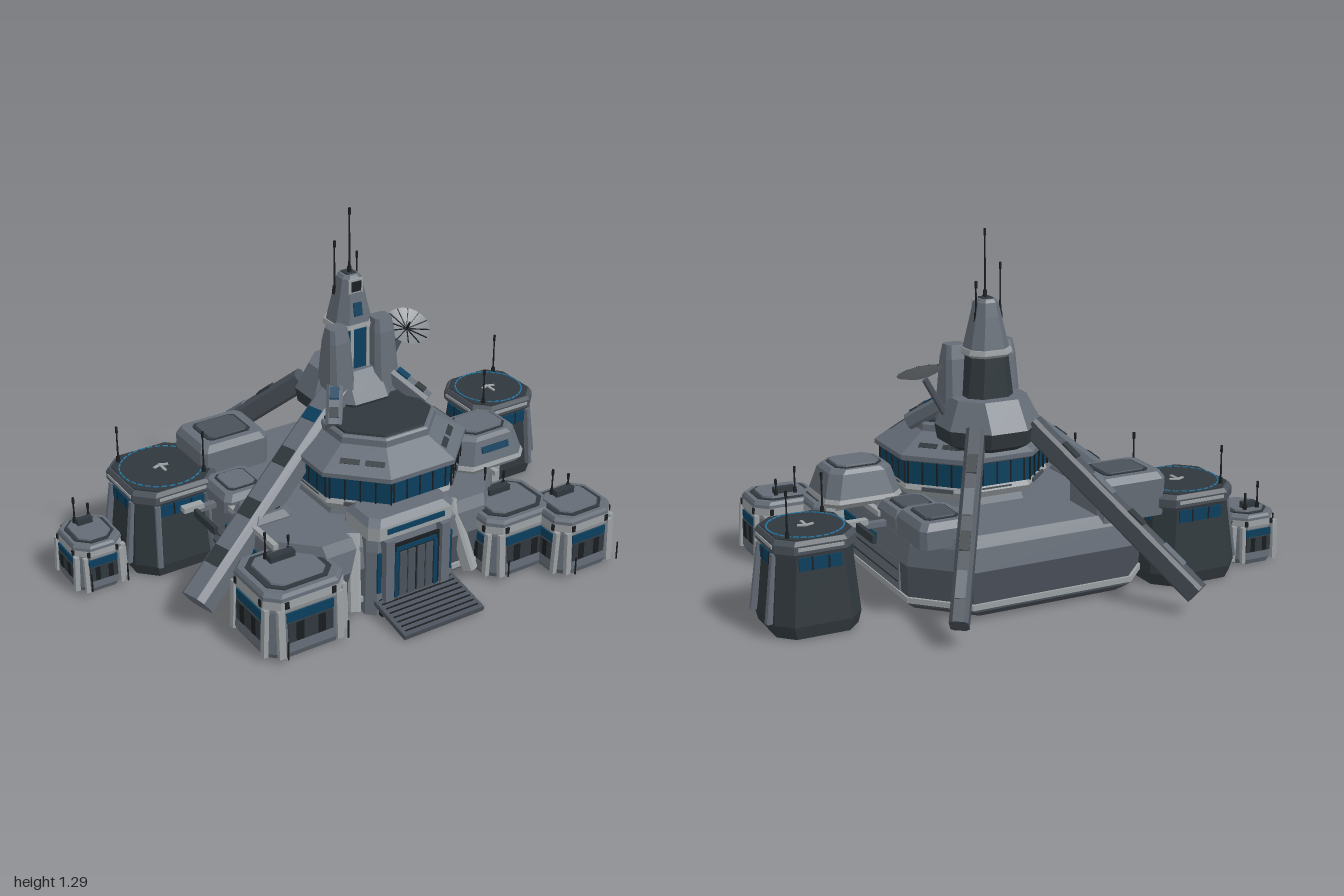
import * as THREE from 'three';

const mat = (name, color) => {
  const m = new THREE.MeshStandardMaterial({ color });
  m.name = name;
  return m;
};

// Loft through chamfered rectangles, each [y, width, depth, chamfer]
function loft(sections) {
  const pos = [];
  const rings = sections.map(([y, w, d, c]) => {
    const a = w / 2, b = d / 2;
    return [[c - a, b], [a - c, b], [a, b - c], [a, c - b], [a - c, -b], [c - a, -b], [-a, c - b], [-a, b - c]]
      .map(([x, z]) => [x, y, z]);
  });
  const tri = (...p) => p.forEach(v => pos.push(...v));
  for (let i = 0; i < rings.length - 1; i++) {
    for (let j = 0; j < 8; j++) {
      const k = (j + 1) % 8, lo = rings[i], hi = rings[i + 1];
      tri(lo[j], lo[k], hi[k]);
      tri(lo[j], hi[k], hi[j]);
    }
  }
  const bottom = rings[0], top = rings[rings.length - 1];
  for (let j = 1; j < 7; j++) {
    tri(top[0], top[j], top[j + 1]);
    tri(bottom[0], bottom[j + 1], bottom[j]);
  }
  const g = new THREE.BufferGeometry();
  g.setAttribute('position', new THREE.Float32BufferAttribute(pos, 3));
  g.computeVertexNormals();
  return g;
}

export function createModel() {
  const root = new THREE.Group();
  root.name = 'outpost';
  const light = mat('lightPanel', 0x9ba0a3), hull = mat('hullGrey', 0x646c76), dark = mat('darkPlate', 0x30383d);
  const glass = mat('blueGlass', 0x0b3f5e), black = mat('blackMetal', 0x1a1d20), mid = mat('midGrey', 0x4a515a);
  const glow = mat('blueLight', 0x2377a6), under = mat('undersideGrey', 0xa6a6a6), dishGrey = mat('dishGrey', 0x80868b);
  dishGrey.side = THREE.DoubleSide;

  const add = (name, geo, m, x = 0, y = 0, z = 0, parent = root) => {
    const mesh = new THREE.Mesh(geo, m);
    mesh.name = name;
    mesh.position.set(x, y, z);
    parent.add(mesh);
    return mesh;
  };
  const box = (name, m, w, h, d, x, y, z, parent) => add(name, new THREE.BoxGeometry(w, h, d), m, x, y, z, parent);
  const group = (name, x = 0, y = 0, z = 0, parent = root) => {
    const g = new THREE.Group();
    g.name = name;
    g.position.set(x, y, z);
    parent.add(g);
    return g;
  };
  // Chamfered bar from a to b; panels are plates along its upper face
  const beam = (name, m, a, b, w, t, panels = [], chamfer = 0.2) => {
    const g = group(name, ...a);
    const L = new THREE.Vector3(...a).distanceTo(new THREE.Vector3(...b)), c = Math.min(w, t) * chamfer;
    g.lookAt(...b);
    add(name + 'Body', loft([[0, w, t, c], [L, w, t, c]]).rotateX(Math.PI / 2), m, 0, 0, 0, g);
    panels.forEach(([f, len, pm]) => box('panel', pm, w * 0.55, 0.008, len, 0, t / 2 + 0.002, f * L, g));
    return g;
  };
  const antenna = (x, y, z, h, parent) => {
    add('antenna', new THREE.CylinderGeometry(0.0025, 0.004, h, 6), black, x, y + h / 2, z, parent);
    add('antennaBase', new THREE.CylinderGeometry(0.007, 0.009, 0.03, 8), black, x, y + 0.015, z, parent);
    add('antennaTip', new THREE.CylinderGeometry(0.005, 0.005, 0.025, 6), black, x, y + h, z, parent);
  };

  // Main base with trim and deck
  const baseZ = 0.025;
  add('baseUnderside', loft([[0, 0.84, 0.78, 0.165], [0.008, 0.84, 0.78, 0.165]]), under, 0, 0, baseZ);
  add('basePlinth', loft([[0.006, 0.88, 0.82, 0.17], [0.035, 0.95, 0.89, 0.17], [0.05, 0.96, 0.89, 0.17]]), mid, 0, 0, baseZ);
  add('baseTrim', loft([[0.045, 0.97, 0.905, 0.172], [0.065, 0.97, 0.905, 0.172]]), light, 0, 0, baseZ);
  add('baseWall', loft([[0.06, 0.955, 0.885, 0.17], [0.18, 0.965, 0.9, 0.17]]), mid, 0, 0, baseZ);
  add('baseUpper', loft([[0.18, 0.97, 0.9, 0.17], [0.26, 0.955, 0.87, 0.14], [0.3, 0.93, 0.83, 0.12]]), hull, 0, 0, baseZ);
  for (const s of [-1, 1]) {
    box('baseSidePanel', hull, 0.009, 0.11, 0.5, s * 0.481, 0.125, 0.06);
    box('baseSideTrim', light, 0.02, 0.02, 0.36, s * 0.475, 0.295, 0.17);
    for (const z of [0.24, 0.08]) box('baseWindow', glass, 0.009, 0.035, 0.14, s * 0.484, 0.2, z);
    for (const y of [0.1, 0.145]) box('baseSeam', dark, 0.009, 0.006, 0.48, s * 0.483, y, 0.06);
  }

  // Raised deck hatches
  const hatch = (x, z, w, d, h, lid) => {
    const g = group('deckHatch', x, 0.27, z);
    add('hatchBody', loft([[0, w, d, 0.02], [h - 0.025, w, d, 0.02], [h, w - 0.03, d - 0.03, 0.02]]), hull, 0, 0, 0, g);
    add('hatchFrame', loft([[h, w * 0.64, d * 0.64, 0.015], [h + 0.004, w * 0.64, d * 0.64, 0.015]]), dark, 0, 0, 0, g);
    add('hatchLid', loft([[h, w * 0.58, d * 0.58, 0.015], [h + 0.008, w * 0.56, d * 0.56, 0.015]]), lid, 0, 0, 0, g);
  };
  hatch(0.38, -0.26, 0.2, 0.23, 0.09, mid);
  hatch(0.38, -0.06, 0.19, 0.2, 0.07, mid);
  hatch(-0.4, -0.06, 0.19, 0.2, 0.07, hull);
  hatch(-0.4, 0.13, 0.17, 0.16, 0.06, hull);
  hatch(-0.33, -0.29, 0.28, 0.23, 0.16, mid);

  // Eight-sided control drum with window band and sloped roof
  const drum = group('controlDrum', 0.065, 0, 0.16);
  const oct = (y, w) => [y, w, w * 0.95, w * 0.28];
  add('drumFoot', loft([oct(0.27, 0.56), oct(0.34, 0.5)]), hull, 0, 0, 0, drum);
  add('drumLowerRim', loft([oct(0.33, 0.55), oct(0.355, 0.58), oct(0.378, 0.56)]), light, 0, 0, 0, drum);
  add('drumWindows', loft([oct(0.375, 0.575), oct(0.465, 0.575)]), glass, 0, 0, 0, drum);
  add('drumRoof', loft([oct(0.46, 0.585), oct(0.468, 0.615), oct(0.485, 0.615), oct(0.553, 0.4)]), hull, 0, 0, 0, drum);
  add('drumRoofRim', loft([oct(0.55, 0.405), oct(0.575, 0.4), oct(0.582, 0.385)]), hull, 0, 0, 0, drum);
  add('drumRoofTop', loft([oct(0.582, 0.37), oct(0.59, 0.365)]), dark, 0, 0, 0, drum);
  for (let i = 0; i < 8; i++) {
    const side = group('drumSide', 0, 0, 0, drum);
    side.rotation.y = i * Math.PI / 4;
    const r = i % 2 ? 0.291 : i % 4 ? 0.2875 : 0.273;
    for (const x of [-0.11, -0.055, 0, 0.055, 0.11]) box('mullion', black, 0.005, 0.085, 0.006, x, 0.42, r, side);
    for (const x of [-0.045, 0.045]) {
      const panel = box('roofPanel', dark, 0.07, 0.008, 0.022, x, 0.512, r - 0.036, side);
      panel.rotation.x = 0.58;
    }
    box('rimVent', mid, 0.12, 0.014, 0.008, 0, 0.36, r - 0.004, side);
  }

  // Entrance portal, doors and ramp
  const gate = group('entrance', -0.01, 0, 0);
  add('portalBody', loft([[0, 0.38, 0.24, 0.03], [0.25, 0.36, 0.22, 0.03], [0.33, 0.34, 0.18, 0.03]]), hull, 0, 0, 0.4, gate);
  add('portalLintel', loft([[0.3, 0.36, 0.2, 0.03], [0.35, 0.36, 0.2, 0.03]]), light, 0, 0, 0.42, gate);
  add('portalCap', loft([[0.35, 0.36, 0.2, 0.03], [0.372, 0.32, 0.15, 0.03]]), hull, 0, 0, 0.42, gate);
  box('lintelPanel', glass, 0.24, 0.02, 0.008, 0, 0.33, 0.521, gate);
  box('doorRecess', black, 0.27, 0.24, 0.009, 0, 0.15, 0.52, gate);
  box('doorSill', black, 0.3, 0.045, 0.06, 0, 0.023, 0.51, gate);
  box('doorWindow', glass, 0.17, 0.016, 0.008, 0, 0.25, 0.525, gate);
  for (const s of [-1, 1]) {
    for (const x of [0.02, 0.055]) box('doorLeaf', mid, 0.03, 0.18, 0.008, s * x, 0.145, 0.526, gate);
    box('doorSideLight', glass, 0.014, 0.19, 0.008, s * 0.083, 0.145, 0.526, gate);
    box('portalPost', hull, 0.035, 0.29, 0.05, s * 0.118, 0.155, 0.515, gate);
    box('postLight', glass, 0.016, 0.16, 0.008, s * 0.15, 0.17, 0.518, gate);
    beam('portalButtress', light, [s * 0.25, 0.04, 0.5], [s * 0.205, 0.3, 0.42], 0.045, 0.05);
  }
  const ramp = beam('ramp', mid, [-0.005, 0.05, 0.5], [-0.005, 0.012, 0.7], 0.34, 0.02, [], 0.1);
  for (let i = 0; i < 8; i++) box('rampSlat', black, 0.31, 0.004, 0.005, 0, 0.011, 0.015 + i * 0.024, ramp);

  // Small square pods
  const pod = (x, z, w, d, h) => {
    const g = group('pod', x, 0, z), c = 0.045;
    const sec = (y, k) => [y * h, w * k, d * k, c];
    add('podBody', loft([sec(0.0, 0.9), sec(0.1, 0.98), sec(0.74, 0.92)]), hull, 0, 0, 0, g);
    add('podBand', loft([sec(0.72, 0.94), sec(0.78, 0.97), sec(0.9, 0.96)]), light, 0, 0, 0, g);
    add('podRoof', loft([sec(0.9, 0.96), sec(0.95, 0.95), sec(1, 0.9)]), hull, 0, 0, 0, g);
    add('podRoofFrame', loft([sec(1, 0.78), [h + 0.004, w * 0.78, d * 0.78, c]]), dark, 0, 0, 0, g);
    add('podRoofPanel', loft([[h, w * 0.66, d * 0.66, 0.03], [h + 0.01, w * 0.64, d * 0.64, 0.03]]), hull, 0, 0, 0, g);
    box('podRoofUnit', dark, w * 0.3, 0.03, d * 0.1, 0, h + 0.018, -d * 0.16, g);
    for (let i = 0; i < 4; i++) {
      const f = group('podFace', 0, 0, 0, g), wide = i % 2 ? d : w, half = (i % 2 ? w : d) / 2;
      f.rotation.y = i * Math.PI / 2;
      const at = y => half * (0.98 - 0.06 * (y - 0.1) / 0.64);
      box('podWindow', glass, wide * 0.56, h * 0.14, 0.009, 0, h * 0.63, at(0.63), f);
      box('podPanel', dark, wide * 0.54, h * 0.3, 0.009, 0, h * 0.4, at(0.4), f);
      for (const s of [-1, 1]) {
        const post = box('podPost', light, wide * 0.08, h * 0.72, 0.018, s * wide * 0.35, h * 0.42, at(0.4), f);
        post.rotation.x = -0.04;
        box('podVent', black, wide * 0.09, h * 0.28, 0.008, s * wide * 0.13, h * 0.4, at(0.4) + 0.003, f);
        box('roofVent', black, wide * 0.05, h * 0.1, 0.008, s * wide * 0.28, h * 0.84, half * 0.965, f);
      }
    }
    for (const s of [-1, 1]) {
      add('guardPost', new THREE.CylinderGeometry(0.003, 0.003, 0.07, 6), black, s * w * 0.36, 0.075, d / 2 + 0.045, g);
      antenna(s * w * 0.14, h, -d * 0.25, s < 0 ? 0.1 : 0.06, g);
    }
  };
  pod(-0.9, -0.26, 0.195, 0.235, 0.19);
  pod(-0.475, 0.43, 0.33, 0.3, 0.26);
  pod(0.445, 0.44, 0.31, 0.27, 0.24);
  pod(0.645, 0.57, 0.27, 0.24, 0.235);

  // Tall dark landing towers
  const tower = (x, z, w, out) => {
    const g = group('landingTower', x, 0, z), c = w * 0.18;
    add('towerUnderside', loft([[0, w * 0.9, w * 0.9, c], [0.008, w * 0.9, w * 0.9, c]]), hull, 0, 0, 0, g);
    add('towerBody', loft([[0.004, w, w, c], [0.05, w * 1.06, w * 1.06, c], [0.29, w * 0.92, w * 0.92, c]]), dark, 0, 0, 0, g);
    add('towerRim', loft([[0.285, w * 0.93, w * 0.93, c], [0.3, w, w, c], [0.33, w, w, c], [0.345, w * 0.95, w * 0.95, c]]), mid, 0, 0, 0, g);
    add('towerRoof', loft([[0.344, w * 0.92, w * 0.92, c], [0.349, w * 0.92, w * 0.92, c]]), dark, 0, 0, 0, g);
    for (let i = 0; i < 32; i++) {
      const a = i * Math.PI / 16;
      box('landingLight', glow, 0.02, 0.004, 0.005, Math.sin(a) * w * 0.445, 0.35, Math.cos(a) * w * 0.445, g).rotation.y = a;
    }
    for (const s of [-1, 1]) box('landingMark', light, 0.032, 0.006, 0.012, s * 0.014, 0.35, -0.004, g).rotation.y = -s * 0.35;
    box('landingMark', light, 0.01, 0.006, 0.055, 0, 0.3505, 0.012, g);
    for (let i = 0; i < 4; i++) {
      const f = group('towerFace', 0, 0, 0, g);
      f.rotation.y = i * Math.PI / 2;
      box('towerWindow', glass, w * 0.52, 0.045, 0.009, 0, 0.262, w * 0.47, f);
      box('rimLight', light, w * 0.55, 0.012, 0.008, 0, 0.318, w * 0.498, f);
      for (const s of [-1, 1]) box('windowBar', black, 0.006, 0.045, 0.009, s * w * 0.1, 0.262, w * 0.472, f);
    }
    for (const s of [-1, 1]) {
      beam('towerFin', hull, [x + out * (w * 0.53 + 0.012), 0.05, z + s * w * 0.27], [x + out * w * 0.47, 0.29, z + s * w * 0.24], 0.022, 0.025);
      beam('towerFrontFin', hull, [x + s * w * 0.32, 0.05, z + w * 0.53], [x + s * w * 0.29, 0.29, z + w * 0.47], 0.022, 0.03);
      antenna(s * w * 0.34, 0.34, -s * out * w * 0.34, s < 0 ? 0.14 : 0.16, g);
    }
  };
  tower(-0.59, -0.28, 0.34, -1);
  tower(0.81, -0.15, 0.295, 1);

  // Raised side module on a leg
  const mod = group('sideModule', 0.49, 0, 0.2);
  add('moduleRim', loft([[0.3, 0.27, 0.23, 0.04], [0.32, 0.3, 0.26, 0.04], [0.335, 0.29, 0.25, 0.04]]), light, 0, 0, 0, mod);
  add('moduleBody', loft([[0.33, 0.29, 0.25, 0.04], [0.42, 0.24, 0.2, 0.04], [0.435, 0.21, 0.18, 0.04]]), hull, 0, 0, 0, mod);
  add('moduleRoofFrame', loft([[0.435, 0.18, 0.15, 0.03], [0.439, 0.18, 0.15, 0.03]]), dark, 0, 0, 0, mod);
  add('moduleRoof', loft([[0.435, 0.165, 0.135, 0.025], [0.445, 0.16, 0.13, 0.025]]), hull, 0, 0, 0, mod);
  const moduleWindow = box('moduleWindow', glass, 0.12, 0.025, 0.009, 0, 0.385, 0.111, mod);
  moduleWindow.rotation.x = -0.28;
  box('moduleLeg', light, 0.035, 0.25, 0.035, 0.11, 0.18, -0.03, mod);
  // Slim service pylons beside the base
  for (const s of [-1, 1]) {
    box('servicePylon', light, 0.08, 0.02, 0.03, s * 0.585, 0.29, -0.05);
    box('serviceArm', hull, 0.1, 0.02, 0.025, s * 0.51, 0.275, -0.05);
    box('serviceRail', dark, 0.015, 0.03, 0.15, s * 0.585, 0.28, s > 0 ? -0.14 : 0.05);
  }

  // Central mast
  const mast = group('mast', 0.08, 0, -0.06);
  add('pedestalSkirt', loft([[0.52, 0.26, 0.24, 0.08], [0.545, 0.34, 0.33, 0.1], [0.6, 0.36, 0.35, 0.11]]), dark, 0, 0, -0.01, mast);
  add('mastPedestal', loft([[0.6, 0.36, 0.35, 0.11], [0.7, 0.27, 0.22, 0.07]]), hull, 0, 0, -0.01, mast);
  add('mastShaft', loft([[0.69, 0.18, 0.15, 0.04], [0.86, 0.14, 0.13, 0.035]]), dark, 0, 0, 0, mast);
  add('mastCollar', loft([[0.845, 0.15, 0.14, 0.035], [0.855, 0.17, 0.155, 0.04], [0.872, 0.16, 0.15, 0.04]]), light, 0, 0, 0, mast);
  add('mastCap', loft([[0.87, 0.15, 0.14, 0.035], [0.985, 0.1, 0.1, 0.025], [1.035, 0.08, 0.08, 0.02], [1.047, 0.06, 0.065, 0.015]]), hull, 0, 0, 0.005, mast);
  box('mastRoof', dark, 0.04, 0.008, 0.04, 0, 1.047, 0.005, mast);
  box('mastLookoutFrame', light, 0.06, 0.055, 0.008, 0, 1.01, 0.051, mast);
  box('mastLookout', black, 0.04, 0.038, 0.008, 0, 1.01, 0.054, mast);
  const plate = box('mastUpperWindow', glass, 0.035, 0.05, 0.009, 0, 0.925, 0.065, mast);
  plate.rotation.x = -0.17;
  box('mastWindow', glass, 0.085, 0.155, 0.009, 0, 0.775, 0.076, mast);
  for (const s of [-1, 1]) {
    box('mastWindowFrame', light, 0.012, 0.17, 0.03, s * 0.034, 0.775, 0.07, mast);
    const wing = group('mastWing', s * 0.095, 0, 0.07, mast);
    add('mastWingBody', loft([[0.6, 0.11, 0.14, 0.02], [0.83, 0.085, 0.085, 0.015], [0.88, 0.07, 0.06, 0.012]]), hull, 0, 0, 0, wing);
    beam('mastButtress', hull, [0.08 + s * 0.09, 0.69, 0.0], [0.08 + s * 0.2, 0.57, 0.16], 0.06, 0.06,
      [[0.45, 0.05, glass], [0.8, 0.04, dark]]);
  }
  antenna(0, 1.045, 0.01, 0.235, mast);
  antenna(-0.05, 0.97, -0.01, 0.19, mast);
  antenna(0.045, 0.97, -0.01, 0.13, mast);

  // Three long support beams
  const panels = [[0.2, 0.07, dark], [0.4, 0.1, hull], [0.6, 0.07, dark], [0.82, 0.1, hull]];
  beam('rearLeftStrut', mid, [-0.04, 0.6, -0.18], [-0.41, 0.08, -0.705], 0.06, 0.08, panels);
  beam('rearRightStrut', mid, [0.18, 0.6, -0.18], [0.45, 0.08, -0.6], 0.065, 0.08, panels);
  beam('sideStrut', hull, [0.0, 0.63, 0.015], [-0.72, 0.085, 0.222], 0.11, 0.11,
    [[0.16, 0.05, glass], [0.36, 0.07, dark], [0.6, 0.07, dark], [0.82, 0.07, dark]]);

  // Dish on an inclined arm
  beam('dishArm', mid, [0.2, 0.58, -0.04], [0.305, 0.77, -0.03], 0.022, 0.022);
  const dish = group('dish', 0.315, 0.79, -0.015);
  dish.rotation.x = 0.52;
  const profile = [[0.0001, -0.014], [0.045, -0.009], [0.085, 0.006]].map(p => new THREE.Vector2(...p));
  add('dishBowl', new THREE.LatheGeometry(profile, 20), dishGrey, 0, 0, 0, dish);
  for (let i = 0; i < 12; i++) {
    const spoke = group('dishSpoke', 0, -0.002, 0, dish);
    spoke.rotation.y = i * Math.PI / 6;
    box('spokeBar', black, 0.003, 0.004, 0.083, 0, 0, 0.042, spoke).rotation.x = -0.22;
  }
  add('dishFeed', new THREE.CylinderGeometry(0.003, 0.006, 0.04, 8), black, 0, 0.008, 0, dish);

  return root;
}
